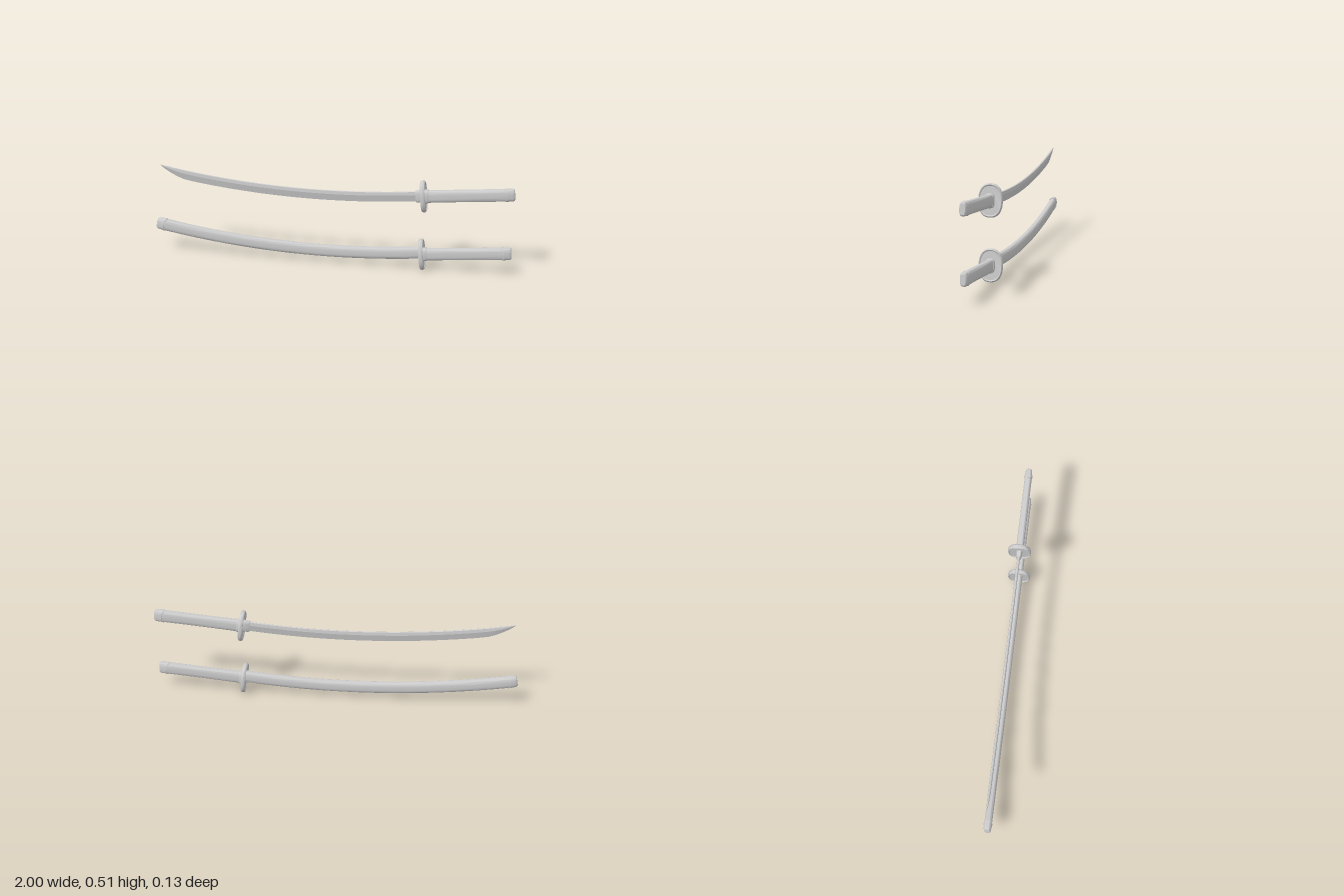
import * as THREE from 'three';
import { toCreasedNormals } from 'three/addons/utils/BufferGeometryUtils.js';

const material = new THREE.MeshStandardMaterial({ color: 0xcccccc });

// Skin a list of rings (each an array of [x, y, z], ordered from +y towards +z) along +x
function skin(name, rings, crease = 0.6) {
  const n = rings[0].length;
  const pos = rings.flat(2);
  const index = [];
  for (let i = 0; i < rings.length - 1; i++) {
    for (let j = 0; j < n; j++) {
      const k = (j + 1) % n;
      const a = i * n + j, b = i * n + k, c = a + n, d = b + n;
      index.push(a, b, c, b, d, c);
    }
  }
  // Close both ends
  const last = (rings.length - 1) * n;
  for (let j = 1; j < n - 1; j++) {
    index.push(0, j + 1, j, last, last + j, last + j + 1);
  }
  const g = new THREE.BufferGeometry();
  g.setAttribute('position', new THREE.Float32BufferAttribute(pos, 3));
  g.setIndex(index);
  const mesh = new THREE.Mesh(toCreasedNormals(g, crease), material);
  mesh.name = name;
  return mesh;
}

// Rounded-rectangle ring, square to an axis of the given slope; wave scallops its edge
function ring(x, y, halfH, halfZ, slope, power = 3.2, wave = 0, n = 32) {
  const bend = (v) => Math.sign(v) * Math.abs(v) ** (2 / power);
  return Array.from({ length: n }, (_, j) => {
    const t = (j / n) * Math.PI * 2;
    const h = bend(Math.cos(t)) * halfH;
    return [x - slope * h + wave * Math.cos(2 * t), y + h, bend(Math.sin(t)) * halfZ];
  });
}

// Shared curve of blade and scabbard
const sag = (x) => 0.1 * (x + 0.03) ** 2;
const sagSlope = (x) => 0.2 * (x + 0.03);

// Grip axis
const GRIP_SLOPE = 0.085;
const gripY = (x) => 0.422 + GRIP_SLOPE * (x - 0.515);

function gripPart(name, sections) {
  return skin(name, sections.map(([x, h, z, wave]) => ring(x, gripY(x), h, z, GRIP_SLOPE, 3.2, wave)));
}

function makeHilt() {
  const hilt = new THREE.Group();
  hilt.name = 'hilt';
  hilt.add(gripPart('grip', [[0.52, 0.034, 0.021], [0.66, 0.033, 0.02], [0.82, 0.033, 0.02], [0.96, 0.0335, 0.02]]));
  hilt.add(gripPart('gripCollar', [[0.52, 0.037, 0.024], [0.54, 0.037, 0.024], [0.544, 0.034, 0.022]]));
  hilt.add(gripPart('pommelCap', [
    [0.95, 0.033, 0.0195, -0.007], [0.95, 0.036, 0.0225, -0.007], [0.957, 0.036, 0.0225, -0.006],
    [0.962, 0.0345, 0.021, -0.004], [0.985, 0.034, 0.019], [0.994, 0.032, 0.0165], [0.998, 0.027, 0.012],
  ]));
  // Oval guard with a raised, rounded rim
  const profile = [
    [-0.007, 0.074, 0.054], [-0.0115, 0.077, 0.056], [-0.0125, 0.08, 0.0585], [-0.009, 0.0845, 0.062],
    [-0.003, 0.0865, 0.064],
  ];
  const mirrored = profile.map(([x, h, z]) => [-x, h, z]).reverse();
  hilt.add(skin('guard', [...profile, ...mirrored].map(
    ([x, h, z]) => ring(0.515 + x, 0.4225 + x * 0.1, h, z, 0.1, 2.35, 0, 48)), 0.9));
  return hilt;
}

function makeBlade() {
  // [x, edge height], with the tip sweeping up to the spine
  const stations = [[-0.965, 0.51], [-0.94, 0.489], [-0.9, 0.464], [-0.86, 0.444], [-0.825, 0.431]];
  for (let i = 0; i <= 14; i++) {
    const x = -0.75 + (i / 14) * 1.26;
    stations.push([x, 0.366 + sag(x)]);
  }
  const rings = stations.map(([x, low]) => {
    const top = 0.423 + sag(x);
    const size = top - low;
    const w = 0.0075 * Math.min(1, 0.1 + size / 0.05);
    const ridge = top - size * 0.35;
    return [[x, top, 0], [x, top - size * 0.04, w * 0.7], [x, ridge, w], [x, low, 0],
      [x, ridge, -w], [x, top - size * 0.04, -w * 0.7]];
  });
  return skin('blade', rings, 0.3);
}

function makeScabbard() {
  const scabbard = new THREE.Group();
  scabbard.name = 'scabbard';
  const at = (x, h, z, wave) => ring(x, 0.0675 + sag(x), h, z, sagSlope(x), 2.8, wave);
  const body = [];
  for (let i = 0; i <= 16; i++) body.push(at(-0.96 + (i / 16) * 1.47, 0.0335, 0.0205));
  scabbard.add(skin('scabbardBody', body));
  scabbard.add(skin('scabbardEndCap', [
    at(-0.998, 0.025, 0.012), at(-0.994, 0.03, 0.0165), at(-0.985, 0.033, 0.0195),
    at(-0.962, 0.0345, 0.0215, 0.004), at(-0.957, 0.036, 0.023, 0.006),
    at(-0.95, 0.036, 0.023, 0.007), at(-0.95, 0.033, 0.02, 0.007),
  ]));
  return scabbard;
}

export function createModel() {
  const model = new THREE.Group();
  model.name = 'swordPair';

  // Bare sword above
  const drawn = new THREE.Group();
  drawn.name = 'drawnSword';
  drawn.add(makeHilt(), makeBlade());
  drawn.add(skin('bladeCollar', [[0.472, 0.031, 0.011], [0.478, 0.033, 0.014], [0.51, 0.034, 0.017]].map(
    ([x, h, z]) => ring(x, 0.3945 + sag(x), h, z, sagSlope(x)))));

  // Sheathed sword below
  const sheathed = new THREE.Group();
  sheathed.name = 'sheathedSword';
  const hilt = makeHilt();
  hilt.position.y = -0.335;
  sheathed.add(hilt, makeScabbard());

  model.add(drawn, sheathed);
  return model;
}
